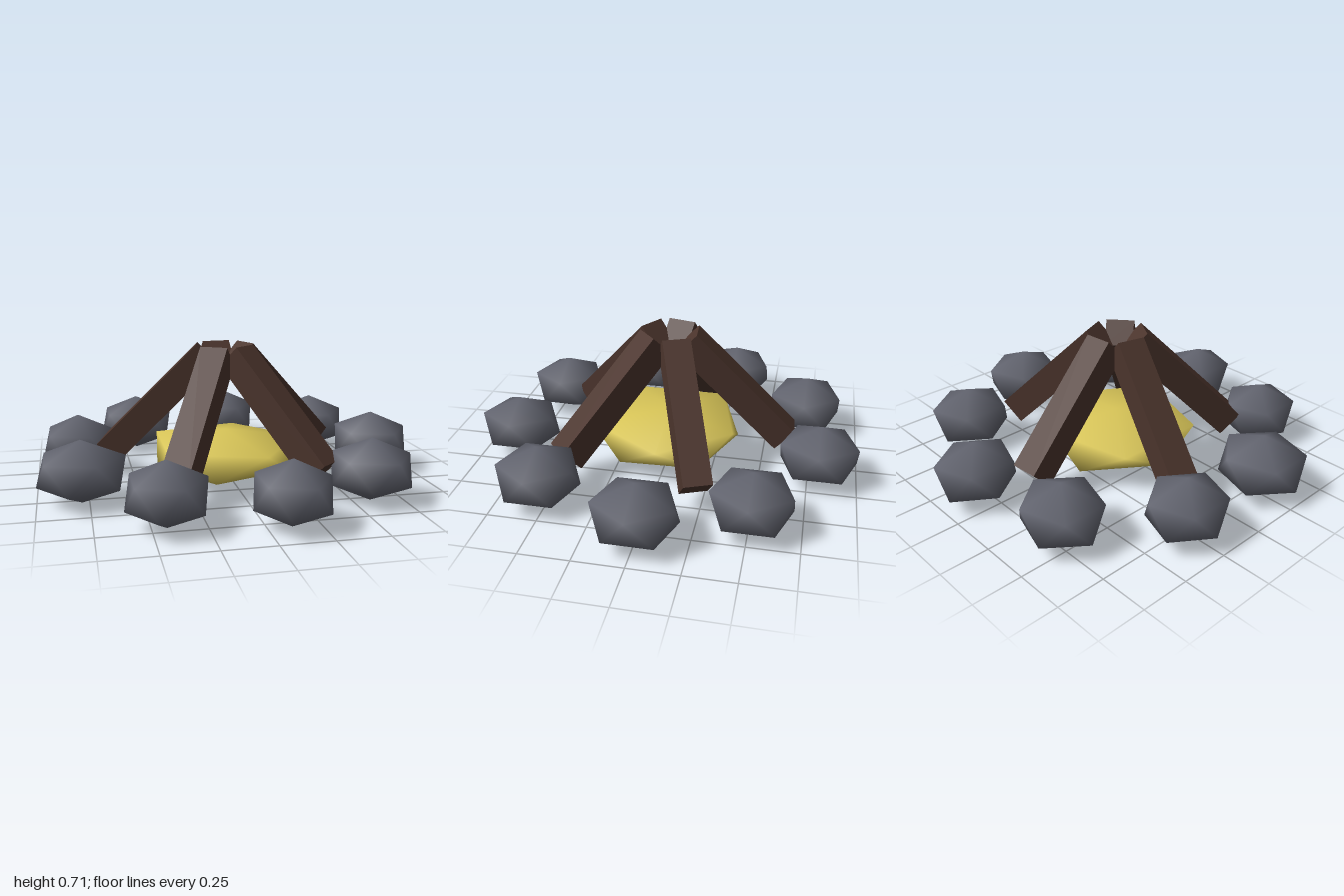
import * as THREE from 'three';

const stoneGrey = new THREE.MeshStandardMaterial({ name: 'stoneGrey', color: 0x62646f });
const barkBrown = new THREE.MeshStandardMaterial({ name: 'barkBrown', color: 0x4b342c });
const emberYellow = new THREE.MeshStandardMaterial({ name: 'emberYellow', color: 0xd9c658 });

// Twelve-point boulder: two points and two staggered rings of five.
// Each ring is a list of five radii; heights are top, upper, lower, bottom.
function boulder(upper, lower, heights, sx = 1, sz = 1) {
  const [top, high, low, bottom] = heights;
  const pos = [0, top, 0];
  const ring = (radii, y, turn) => radii.forEach((r, i) => {
    const a = (i + turn) * Math.PI * 0.4;
    pos.push(r * Math.cos(a) * sx, y, r * Math.sin(a) * sz);
  });
  ring(upper, high, 0);
  ring(lower, low, 0.5);
  pos.push(0, bottom, 0);

  const index = [];
  for (let i = 0; i < 5; i++) {
    const j = (i + 1) % 5;
    const u = 1 + i, v = 1 + j, l = 6 + i, m = 6 + j;
    index.push(0, v, u, u, v, l, v, m, l, 11, l, m);
  }
  const geo = new THREE.BufferGeometry();
  geo.setAttribute('position', new THREE.Float32BufferAttribute(pos, 3));
  geo.setIndex(index);
  geo.computeVertexNormals();
  return geo;
}

export function createModel() {
  const group = new THREE.Group();
  group.name = 'campfire';

  // Ring of stones: x, z, width, depth
  const stones = [
    [0.125, -0.8, 0.38, 0.39],
    [0.61, -0.51, 0.395, 0.39],
    [0.8, 0, 0.395, 0.395],
    [0.59, 0.535, 0.4, 0.385],
    [0.115, 0.8, 0.36, 0.385],
    [-0.43, 0.7, 0.375, 0.38],
    [-0.785, 0.28, 0.43, 0.395],
    [-0.78, -0.265, 0.38, 0.38],
    [-0.425, -0.705, 0.415, 0.375],
  ];
  const even = [1, 1, 1, 1, 1];
  stones.forEach(([x, z, w, d], i) => {
    const geo = boulder(even, even, [0.157, 0.07, -0.07, -0.157], w / 2, d / 1.902);
    const stone = new THREE.Mesh(geo, stoneGrey);
    stone.name = `stone${i + 1}`;
    stone.position.set(x, 0.168, z);
    group.add(stone);
  });

  // Glowing heap in the middle
  const embers = new THREE.Mesh(
    boulder([0.39, 0.427, 0.42, 0.416, 0.37], [0.36, 0.39, 0.365, 0.375, 0.34],
      [0.27, 0.215, 0.085, 0.02]),
    emberYellow);
  embers.name = 'embers';
  embers.position.x = -0.02;
  group.add(embers);

  // Five square logs leaning together at 45 degrees
  const logs = new THREE.Group();
  logs.name = 'logs';
  logs.position.x = -0.03;
  const logGeo = new THREE.BoxGeometry(0.7425, 0.145, 0.145);
  logGeo.rotateZ(-Math.PI / 4);
  logGeo.translate(0.351, 0.411, 0);
  for (let i = 0; i < 5; i++) {
    const log = new THREE.Mesh(logGeo, barkBrown);
    log.name = `log${i + 1}`;
    log.rotation.y = THREE.MathUtils.degToRad(22.4 + 72 * i);
    logs.add(log);
  }
  group.add(logs);

  return group;
}
